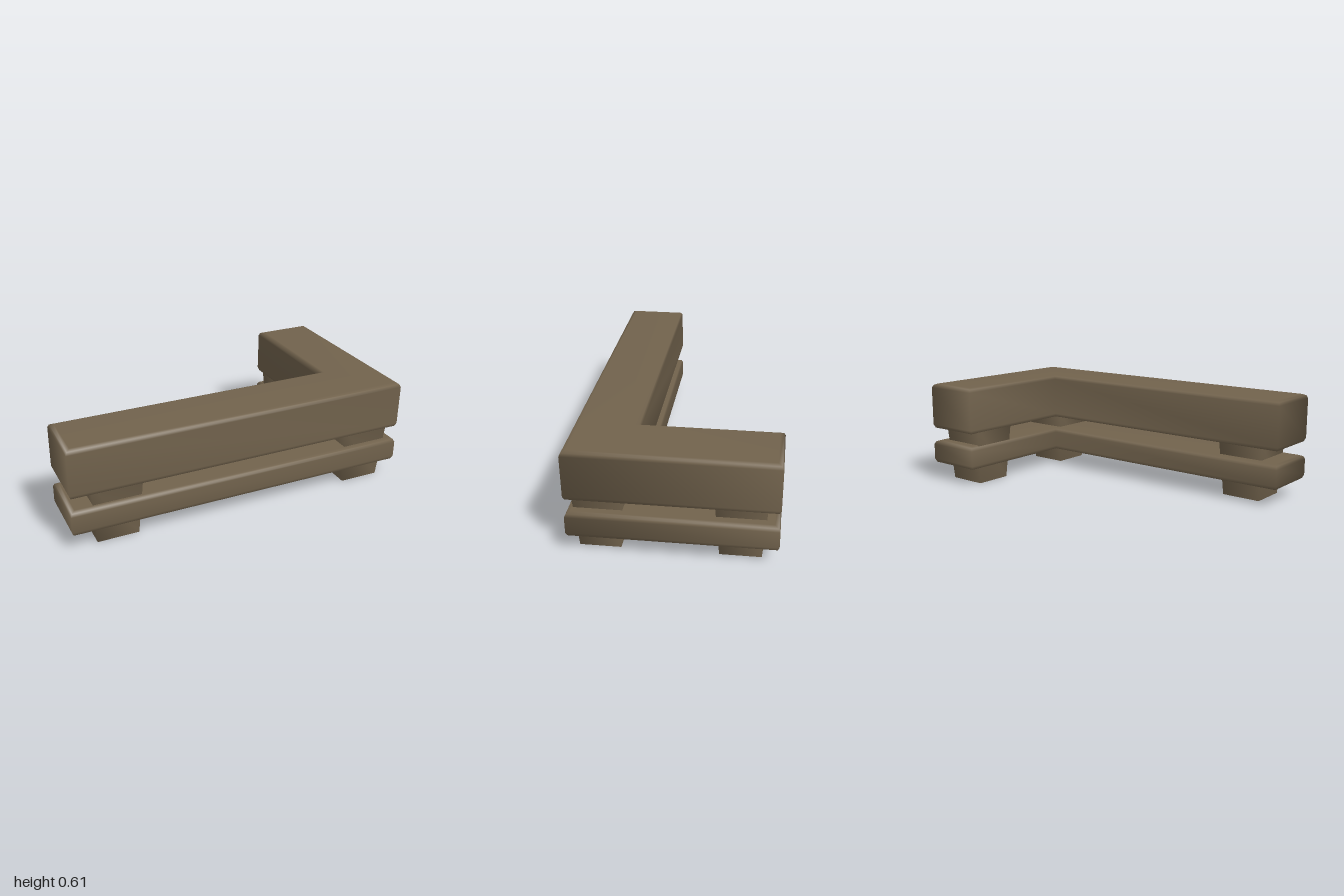
import * as THREE from 'three';

// Skin stacked rings of [x, y, z] points (clockwise from above, bottom to top), with optional cap triangles on the last ring
function skin(rings, cap = []) {
  const n = rings[0].length;
  const index = [];
  for (let r = 0; r < rings.length - 1; r++) {
    for (let i = 0; i < n; i++) {
      const a = r * n + i, b = r * n + (i + 1) % n;
      index.push(a, a + n, b + n, a, b + n, b);
    }
  }
  const last = (rings.length - 1) * n;
  cap.forEach((i) => index.push(last + i));
  const geometry = new THREE.BufferGeometry();
  geometry.setAttribute('position', new THREE.Float32BufferAttribute(rings.flat(2), 3));
  geometry.setIndex(index);
  geometry.computeVertexNormals();
  return geometry;
}

// L-shaped outline at height y, pulled in by d
const outline = (y, d) => [
  [-1 + d, y, 0.55 - d], [-1 + d, y, 0.2 + d], [0.65 + d, y, 0.2 + d],
  [0.65 + d, y, -0.55 + d], [1 - d, y, -0.55 + d], [1 - d, y, 0.55 - d],
];

// L-shaped shell with rounded upper edge and open underside
function slab(bottom, top) {
  const profile = [
    [bottom, 0.009], [bottom + 0.021, 0], [top - 0.025, 0], [top - 0.008, 0.008], [top, 0.028],
  ];
  const cap = [0, 2, 1, 0, 5, 2, 2, 4, 3, 2, 5, 4];
  return skin(profile.map(([y, d]) => outline(y, d)), cap);
}

// Hollow four-sided leg, narrower at the floor
function taperedLeg(height) {
  const ring = (y, w, d) => [[-w, y, d], [-w, y, -d], [w, y, -d], [w, y, d]];
  return skin([ring(0, 0.118, 0.111), ring(height, 0.144, 0.138)]);
}

export function createModel() {
  const model = new THREE.Group();
  model.name = 'cornerBench';
  const brown = new THREE.MeshStandardMaterial({ color: 0x72634d, side: THREE.DoubleSide });
  brown.name = 'brown';

  const add = (name, geometry, x = 0, z = 0) => {
    const mesh = new THREE.Mesh(geometry, brown);
    mesh.name = name;
    mesh.position.set(x, 0, z);
    model.add(mesh);
  };

  // Thick seat above a thinner shelf
  add('seat', slab(0.327, 0.606));
  add('shelf', slab(0.106, 0.246));

  // Legs run through the shelf into the seat
  const leg = taperedLeg(0.36);
  add('frontRightLeg', leg, -0.737, 0.388);
  add('frontLeftLeg', leg, 0.8, 0.388);
  add('backLeftLeg', leg, 0.8, -0.351);

  return model;
}
